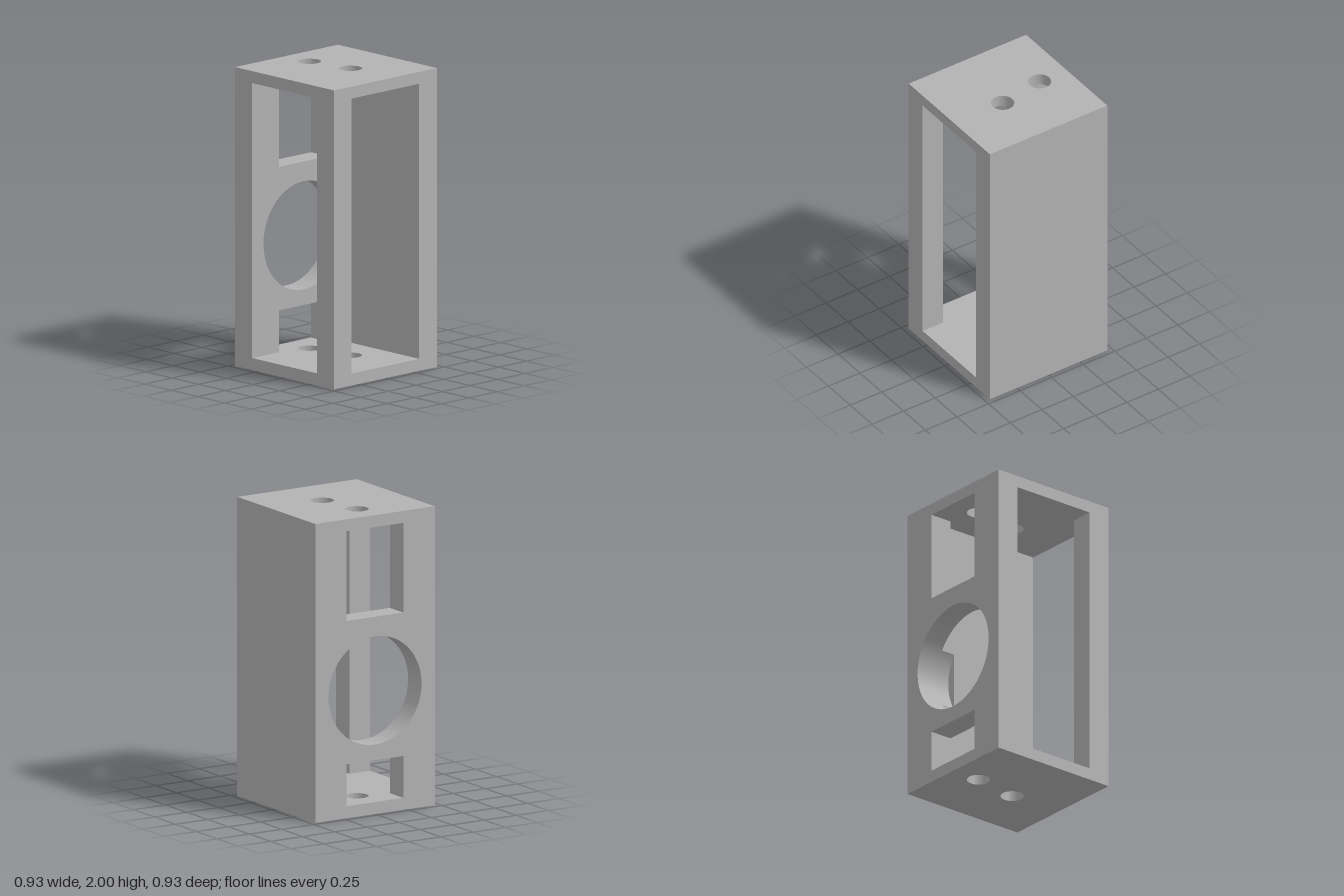
import * as THREE from 'three';
import { toCreasedNormals } from 'three/addons/utils/BufferGeometryUtils.js';

const HALF = 0.465;   // outer half width and depth
const INNER = 0.305;  // inner face of the walls
const LOW = 0.08, HIGH = 1.92; // floor top and ceiling underside
const BORE_Y = 0.827, BORE_R = 0.362;
const BORE_END = -0.205; // the bore runs past the back wall into the side wall

const polygon = (points) => new THREE.Shape(points.map(([x, y]) => new THREE.Vector2(x, y)));

function circleHole(shape, x, y, r) {
  const hole = new THREE.Path();
  hole.absarc(x, y, r, 0, Math.PI * 2, true);
  shape.holes.push(hole);
}

function extrude(shape, depth) {
  const geo = new THREE.ExtrudeGeometry(shape, { depth, bevelEnabled: false, curveSegments: 64 });
  return toCreasedNormals(geo, 0.5);
}

export function createModel() {
  const group = new THREE.Group();
  const grey = new THREE.MeshStandardMaterial({ color: 0xb2b2b2 });
  grey.name = 'grey';

  const add = (name, geometry) => {
    const mesh = new THREE.Mesh(geometry, grey);
    mesh.name = name;
    group.add(mesh);
    return mesh;
  };
  const block = (name, x0, x1, z0, z1) => {
    const mesh = add(name, new THREE.BoxGeometry(x1 - x0, HIGH - LOW, z1 - z0));
    mesh.position.set((x0 + x1) / 2, (LOW + HIGH) / 2, (z0 + z1) / 2);
  };

  // Floor and ceiling plates, each with the same two round holes
  for (const [name, y] of [['floorPlate', 0], ['topPlate', HIGH]]) {
    const plate = polygon([[-HALF, -HALF], [HALF, -HALF], [HALF, HALF], [-HALF, HALF]]);
    circleHole(plate, 0, 0.25, 0.076);
    circleHole(plate, 0.054, -0.08, 0.076);
    add(name, extrude(plate, LOW).rotateX(-Math.PI / 2)).position.y = y;
  }

  // Back wall: upper and lower windows reach the plates, round bore between
  const W = 0.22;
  const back = polygon([
    [-HALF, LOW], [-W, LOW], [-W, 0.36], [W, 0.36], [W, LOW], [HALF, LOW],
    [HALF, HIGH], [W, HIGH], [W, 1.32], [-W, 1.32], [-W, HIGH], [-HALF, HIGH],
  ]);
  circleHole(back, 0, BORE_Y, BORE_R);
  add('backWall', extrude(back, HALF - INNER)).position.z = -HALF;

  // Rear strip of the solid side wall, bitten by the end of the bore
  const a = Math.acos(INNER / BORE_R);
  const strip = polygon([[INNER, LOW], [HALF, LOW], [HALF, HIGH], [INNER, HIGH]]);
  strip.absarc(0, BORE_Y, BORE_R, a, -a, true);
  add('sideWallRear', extrude(strip, BORE_END + INNER)).position.z = -INNER;

  // Rest of the solid side wall, and the front post beside the open side
  block('sideWall', INNER, HALF, BORE_END, HALF);
  block('frontPost', -HALF, -INNER, INNER, HALF);

  return group;
}
